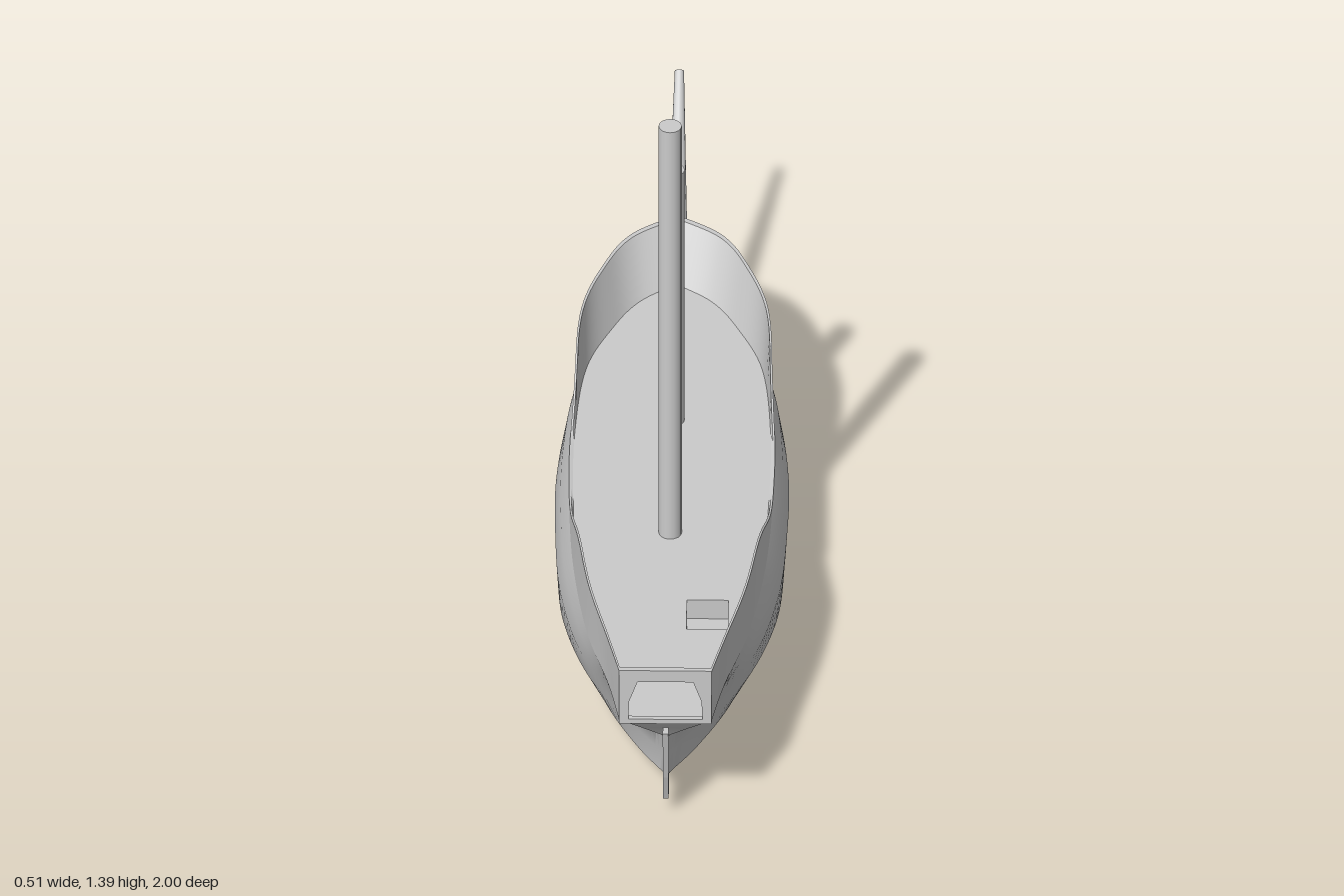
import * as THREE from 'three';
import { mergeVertices, toCreasedNormals } from 'three/addons/utils/BufferGeometryUtils.js';

const DECK = 0.305;
const SUB = 8;
const STATIONS = [0, 0.08, 0.2, 0.35, 0.5, 0.65, 0.8, 0.9, 0.96, 1]; // stern to bow
const { clamp, lerp, smoothstep } = THREE.MathUtils;

// Smooth interpolation through a short list of values
function sample(list, t) {
  const f = t * (list.length - 1);
  const i = Math.min(Math.floor(f), list.length - 2);
  const k = f - i;
  const at = (n) => list[clamp(n, 0, list.length - 1)];
  const m0 = (at(i + 1) - at(i - 1)) / 2, m1 = (at(i + 2) - at(i)) / 2;
  const k2 = k * k, k3 = k2 * k;
  return (2 * k3 - 3 * k2 + 1) * at(i) + (k3 - 2 * k2 + k) * m0
    + (3 * k2 - 2 * k3) * at(i + 1) + (k3 - k2) * m1;
}

// One lengthwise line of the left hull side, from stern to bow
function hullLine(sternZ, bowZ, heights, widths) {
  const n = (STATIONS.length - 1) * SUB;
  return Array.from({ length: n + 1 }, (_, i) => {
    const t = i / n;
    return new THREE.Vector3(
      Math.max(0, sample(widths, t)),
      Array.isArray(heights) ? sample(heights, t) : heights,
      lerp(sternZ, bowZ, sample(STATIONS, t)));
  });
}

// Bow, along the left side, round the stern and back along the right side
const bothSides = (line) => [
  ...[...line].reverse(),
  ...line.map((p) => new THREE.Vector3(-p.x, p.y, p.z)),
];

// Skin over stacked lines; the stern strip can be left open
function skin(lines, openStern) {
  const rows = lines.map(bothSides);
  const cols = rows[0].length;
  const index = [];
  for (let r = 0; r < rows.length - 1; r++) {
    for (let c = 0; c < cols - 1; c++) {
      if (openStern && c === cols / 2 - 1) continue;
      const a = r * cols + c, d = a + cols;
      index.push(a, d, a + 1, a + 1, d, d + 1);
    }
  }
  const g = new THREE.BufferGeometry();
  g.setAttribute('position', new THREE.Float32BufferAttribute(
    rows.flat().flatMap((p) => [p.x, p.y, p.z]), 3));
  g.setIndex(index);
  return toCreasedNormals(mergeVertices(g, 1e-5), 0.5);
}

// Height of the rail: high stern, low waist, raised bow
function sheer(z) {
  const bow = clamp((-0.06 - z) / 0.16, 0, 1);
  return DECK + 0.002 + 0.128 * smoothstep(z, 0.15, 0.58)
    + 0.007 * smoothstep(z, 0.8, 1) + 0.103 * Math.pow(bow, 1.7);
}

export function createModel() {
  const group = new THREE.Group();
  const grey = new THREE.MeshStandardMaterial({ color: 0xcccccc });
  const greyDouble = new THREE.MeshStandardMaterial({ color: 0xcccccc, side: THREE.DoubleSide });
  const greyInside = new THREE.MeshStandardMaterial({ color: 0xcccccc, side: THREE.BackSide });
  const add = (name, geometry, material = grey) => {
    const mesh = new THREE.Mesh(geometry, material);
    mesh.name = name;
    group.add(mesh);
    return mesh;
  };

  // Hull below the deck
  const deckLine = hullLine(0.993, -0.615, DECK,
    [0.1, 0.125, 0.175, 0.208, 0.22, 0.22, 0.198, 0.138, 0.08, 0]);
  add('hull', skin([
    hullLine(0.86, -0.43, [0.05, 0.035, 0.02, 0.01, 0.004, 0.001, 0.003, 0.012, 0.025, 0.045],
      [0, 0, 0, 0, 0, 0, 0, 0, 0, 0]),
    hullLine(0.86, -0.44, [0.055, 0.042, 0.03, 0.02, 0.015, 0.014, 0.017, 0.027, 0.038, 0.05],
      [0, 0.03, 0.07, 0.1, 0.11, 0.11, 0.095, 0.06, 0.03, 0]),
    hullLine(0.86, -0.455, [0.065, 0.06, 0.058, 0.056, 0.055, 0.055, 0.055, 0.057, 0.06, 0.065],
      [0.004, 0.065, 0.135, 0.185, 0.2, 0.2, 0.175, 0.115, 0.06, 0]),
    hullLine(0.87, -0.5, 0.125, [0.004, 0.075, 0.17, 0.23, 0.245, 0.245, 0.212, 0.14, 0.075, 0]),
    hullLine(0.905, -0.55, 0.2, [0.006, 0.09, 0.185, 0.235, 0.25, 0.25, 0.222, 0.15, 0.08, 0]),
    hullLine(0.96, -0.587, 0.26, [0.05, 0.11, 0.18, 0.223, 0.238, 0.237, 0.212, 0.146, 0.08, 0]),
    deckLine,
  ], false), greyDouble);

  // Bulwark above the deck, with a thin rim and an inner face
  const upperLine = hullLine(1, -0.725, 0.44,
    [0.1, 0.13, 0.175, 0.204, 0.211, 0.212, 0.203, 0.156, 0.1, 0]);
  const rail = (share) => deckLine.map((p, i) => {
    const z = lerp(p.z, upperLine[i].z, 0.5);
    return p.clone().lerp(upperLine[i], share * (sheer(z) - DECK) / 0.135);
  });
  const inset = (line, s) => line.map((p) =>
    new THREE.Vector3(p.x * s, p.y, p.z * (p.z < 0 ? s : 0.99)));
  const top = rail(1);
  const innerDeck = inset(deckLine, 0.96);
  add('bulwark', skin([deckLine, rail(0.5), top, inset(top, 0.98), innerDeck], true), greyDouble);

  // Stern panel with its window opening
  const panel = new THREE.Shape([
    [-0.1, 0.3], [0.1, 0.3], [0.1, 0.442], [-0.1, 0.442],
  ].map(([x, y]) => new THREE.Vector2(x, y)));
  panel.holes.push(new THREE.Path([
    [-0.08, 0.312], [-0.078, 0.36], [-0.06, 0.412], [0.06, 0.412], [0.078, 0.36], [0.08, 0.312],
  ].map(([x, y]) => new THREE.Vector2(x, y))));
  const sternPanel = add('sternPanel',
    new THREE.ExtrudeGeometry(panel, { depth: 0.012, bevelEnabled: false }));
  sternPanel.position.z = 0.987;

  // Deck with a hatch cut into it
  const deck = new THREE.Shape(bothSides(innerDeck).slice(0, -1)
    .map((p) => new THREE.Vector2(p.x, -p.z)));
  deck.holes.push(new THREE.Path([
    [0.04, 0.555], [0.13, 0.555], [0.13, 0.66], [0.04, 0.66],
  ].map(([x, z]) => new THREE.Vector2(x, -z))));
  add('deck', new THREE.ShapeGeometry(deck).rotateX(-Math.PI / 2), greyDouble).position.y = DECK;
  add('hatchWell', new THREE.BoxGeometry(0.09, 0.05, 0.105), greyInside)
    .position.set(0.085, DECK - 0.025, 0.6075);

  // Masts
  for (const [name, z, height] of [['mainMast', 0.31, 1.395], ['foreMast', -0.1, 0.975]]) {
    add(name, new THREE.CylinderGeometry(0.025, 0.025, height - 0.28, 16))
      .position.set(0, (height + 0.28) / 2, z);
  }

  // Bowsprit, tapering up and forward
  const foot = new THREE.Vector3(0, 0.275, -0.575), tip = new THREE.Vector3(0, 0.58, -0.994);
  const along = tip.clone().sub(foot);
  const sprit = add('bowsprit', new THREE.CylinderGeometry(0.01, 0.026, along.length(), 16));
  sprit.position.copy(foot).add(tip).multiplyScalar(0.5);
  sprit.quaternion.setFromUnitVectors(new THREE.Vector3(0, 1, 0), along.normalize());

  // Rudder, a thin blade behind the sternpost
  const blade = new THREE.Shape([
    [0.865, 0.055], [0.925, 0.045], [0.95, 0.12], [0.985, 0.262], [0.94, 0.262], [0.895, 0.19], [0.868, 0.12],
  ].map(([z, y]) => new THREE.Vector2(-z, y)));
  const rudder = add('rudder', new THREE.ExtrudeGeometry(blade, { depth: 0.012, bevelEnabled: false }));
  rudder.rotation.y = Math.PI / 2;
  rudder.position.x = -0.006;

  return group;
}
